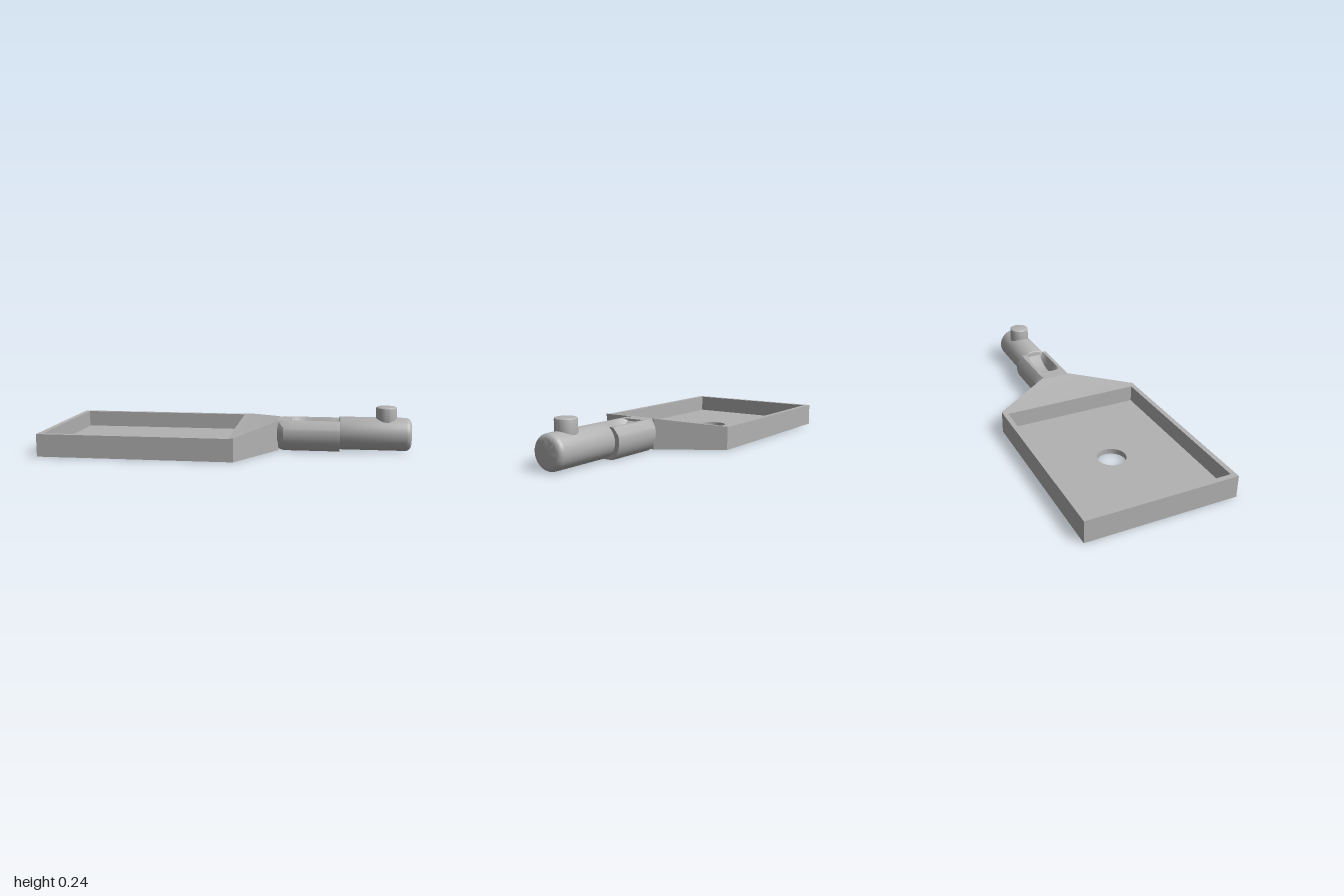
import * as THREE from 'three';
import { toCreasedNormals } from 'three/addons/utils/BufferGeometryUtils.js';

// Closed solid through cross-sections { x, pts: [[y, z], ...] }, counter-clockwise about +x
function loft(sections) {
  const pos = [];
  const put = (s, i) => pos.push(s.x, s.pts[i][0], s.pts[i][1]);
  for (let k = 0; k < sections.length - 1; k++) {
    const a = sections[k], b = sections[k + 1], n = a.pts.length;
    for (let i = 0; i < n; i++) {
      const j = (i + 1) % n;
      put(a, i); put(a, j); put(b, j);
      put(a, i); put(b, j); put(b, i);
    }
  }
  const first = sections[0], last = sections[sections.length - 1];
  for (const [s, flip] of [[first, true], [last, false]]) {
    const contour = s.pts.map(([y, z]) => new THREE.Vector2(y, z));
    for (const f of THREE.ShapeUtils.triangulateShape(contour, [])) {
      (flip ? [f[2], f[1], f[0]] : f).forEach((i) => put(s, i));
    }
  }
  const g = new THREE.BufferGeometry();
  g.setAttribute('position', new THREE.Float32BufferAttribute(pos, 3));
  return toCreasedNormals(g, 0.45);
}

// Mirror a half outline of [y, z] points (bottom to top, z > 0) into a full loop
function mirrored(half) {
  const other = half.map(([y, z]) => [y, -z]);
  return [...other, ...half.slice().reverse()];
}

// Plan outline extruded upwards from height y
function slab(shape, y, height) {
  const g = new THREE.ExtrudeGeometry(shape, { depth: height, bevelEnabled: false, curveSegments: 32 });
  g.rotateX(-Math.PI / 2).translate(0, y, 0);
  return toCreasedNormals(g, 0.5);
}

function polygon(points) {
  return new THREE.Shape(points.map(([x, y]) => new THREE.Vector2(x, y)));
}

function ellipse(Type, x, rx, ry) {
  const p = new Type();
  p.absellipse(x, 0, rx, ry, 0, Math.PI * 2, false);
  return p;
}

// Cylinder about y from 0 to height with rounded rims
function roundedPin(radius, height, bottomRound, topRound) {
  const profile = [new THREE.Vector2(0, 0)];
  for (let i = 0; i <= 6; i++) {
    const a = (i / 6) * Math.PI / 2;
    profile.push(new THREE.Vector2(radius - bottomRound * (1 - Math.sin(a)), bottomRound * (1 - Math.cos(a))));
  }
  for (let i = 0; i <= 6; i++) {
    const a = (i / 6) * Math.PI / 2;
    profile.push(new THREE.Vector2(radius - topRound * (1 - Math.cos(a)), height - topRound * (1 - Math.sin(a))));
  }
  profile.push(new THREE.Vector2(0, height));
  return toCreasedNormals(new THREE.LatheGeometry(profile, 48), 0.6);
}

export function createModel() {
  const group = new THREE.Group();
  const grey = new THREE.MeshStandardMaterial({ color: 0xb2b2b2 });
  grey.name = 'plain grey';
  const add = (name, geometry) => {
    const mesh = new THREE.Mesh(geometry, grey);
    mesh.name = name;
    group.add(mesh);
    return mesh;
  };

  const W = 0.415, IN = 0.388, RIM = 0.123, FLOOR = 0.03, GROOVE = 0.006;

  // Tray walls on three sides; the shoulder closes the fourth
  add('trayWalls', slab(polygon([
    [0.03, -W], [0.03, -IN], [-0.97, -IN], [-0.97, IN],
    [0.03, IN], [0.03, W], [-1, W], [-1, -W],
  ]), 0, RIM));

  // Tray floor with a round hole, and an oval groove cut in its underside
  const floorShape = () => {
    const s = polygon([[-0.97, -IN], [0.03, -IN], [0.03, IN], [-0.97, IN]]);
    s.holes.push(ellipse(THREE.Path, -0.47, 0.078, 0.078));
    return s;
  };
  add('trayFloor', slab(floorShape(), GROOVE, FLOOR - GROOVE));
  const underside = floorShape();
  underside.holes.push(ellipse(THREE.Path, -0.87, 0.045, 0.09));
  add('trayUnderside', slab(underside, 0, GROOVE));
  add('ovalIsland', slab(ellipse(THREE.Shape, -0.87, 0.027, 0.068), 0, GROOVE));

  // Shoulder narrowing and rising to the neck
  add('shoulder', loft([[0.03, W, RIM], [0.06, W, 0.126], [0.27, 0.08, 0.167]].map(([x, w, h]) => ({
    x, pts: mirrored([[0, w], [h, w]]),
  }))));

  // Neck: round sides, chamfered flat top, scooped trough
  const neckSection = (x, r, depth) => {
    const cy = 0.093, top = 0.167, half = [];
    const a0 = -Math.asin(cy / r), a1 = Math.asin(0.037 / r);
    for (let i = 0; i <= 10; i++) {
      const a = a0 + (a1 - a0) * i / 10;
      half.push([cy + r * Math.sin(a), r * Math.cos(a)]);
    }
    half.push([top, Math.min(0.08, r * 0.75)], [top, 0.061], [top - depth, 0.036]);
    return { x, pts: mirrored(half) };
  };
  const neck = [neckSection(0.265, 0.094, 0), neckSection(0.3, 0.117, 0), neckSection(0.339, 0.117, 0)];
  for (let i = 0; i <= 12; i++) {
    const t = i / 12;
    neck.push(neckSection(0.34 + 0.27 * t, 0.117, 0.012 + 0.05 * Math.sin(Math.PI * t)));
  }
  add('neck', loft(neck));

  // Round peg lying along x
  const peg = add('peg', roundedPin(0.092, 0.395, 0.008, 0.03));
  peg.rotation.z = -Math.PI / 2;
  peg.position.set(0.605, 0.0925, 0);

  // Upright button on the peg
  const button = add('button', roundedPin(0.057, 0.145, 0.005, 0.009));
  button.position.set(0.863, 0.1, 0);

  return group;
}
